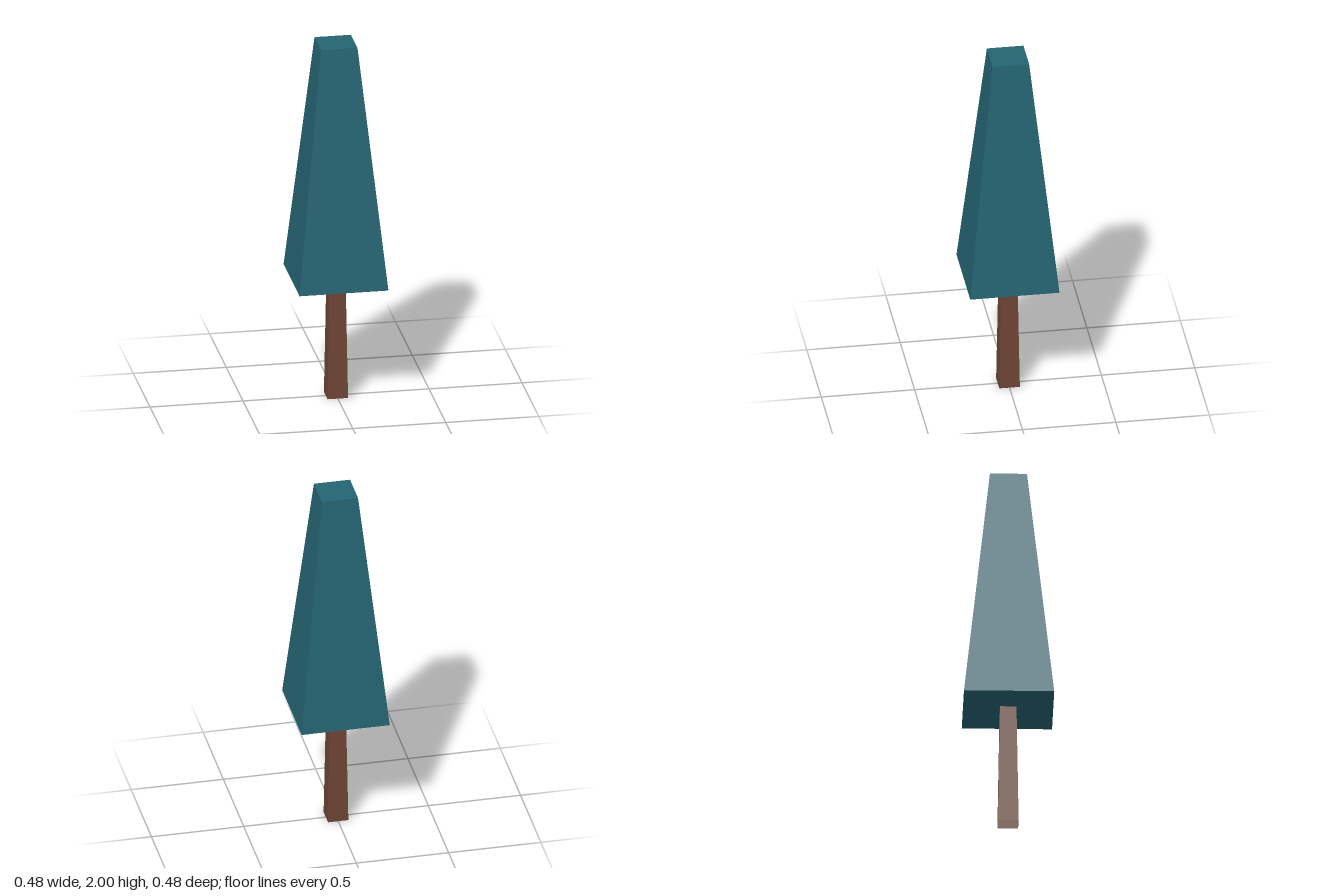
import * as THREE from 'three';

// Four-sided tapered block with its sides facing the axes; half widths at top and bottom
function taperedBlock(name, topHalf, bottomHalf, y0, y1, color, open) {
  const geometry = new THREE.CylinderGeometry(
    topHalf * Math.SQRT2, bottomHalf * Math.SQRT2, y1 - y0, 4, 1, open, Math.PI / 4);
  const material = new THREE.MeshStandardMaterial({
    color, flatShading: true, side: open ? THREE.DoubleSide : THREE.FrontSide });
  const mesh = new THREE.Mesh(geometry, material);
  mesh.name = name;
  mesh.position.y = (y0 + y1) / 2;
  return mesh;
}

export function createModel() {
  const tree = new THREE.Group();
  tree.name = 'tree';
  // Slim trunk, open at its ends
  tree.add(taperedBlock('trunk', 0.044, 0.055, 0, 0.667, 0x6e4636, true));
  // Tall flat-topped foliage
  tree.add(taperedBlock('foliage', 0.098, 0.239, 0.667, 2, 0x246472, false));
  return tree;
}
